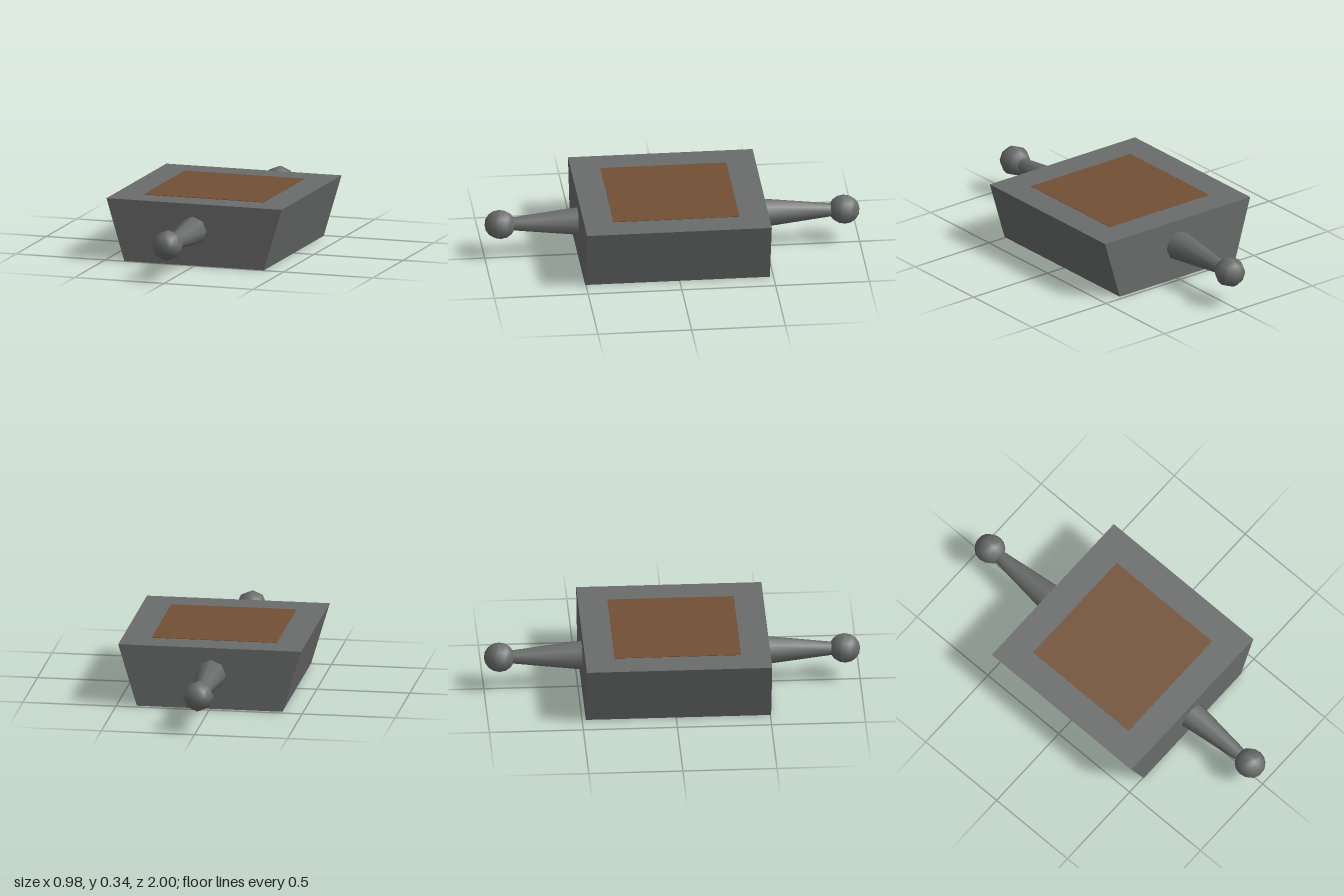
import * as THREE from 'three';

const gray = new THREE.MeshStandardMaterial({ color: 0x6a6c6b });
gray.name = 'dark gray metal';
const brown = new THREE.MeshStandardMaterial({ color: 0x725033 });
brown.name = 'brown fill';

// Block whose sides slope inward along x toward the bottom
function taperedBlock(name, material, topW, bottomW, depth, y0, y1) {
  const geo = new THREE.BoxGeometry(1, y1 - y0, depth);
  const p = geo.attributes.position;
  for (let i = 0; i < p.count; i++) {
    p.setX(i, p.getX(i) * (p.getY(i) > 0 ? topW : bottomW));
  }
  geo.computeVertexNormals();
  const mesh = new THREE.Mesh(geo, material);
  mesh.name = name;
  mesh.position.set(0, (y0 + y1) / 2, 0.012);
  return mesh;
}

// Tapered rod ending in a ball, pointing along +z
function handle(name) {
  const group = new THREE.Group();
  group.name = name;
  const rodGeo = new THREE.CylinderGeometry(0.036, 0.081, 0.38, 8);
  rodGeo.rotateX(Math.PI / 2);
  const rod = new THREE.Mesh(rodGeo, gray);
  rod.name = 'handleRod';
  rod.position.z = 0.665;
  const ballGeo = new THREE.SphereGeometry(0.082, 8, 8);
  ballGeo.rotateX(Math.PI / 2);
  const ball = new THREE.Mesh(ballGeo, gray);
  ball.name = 'handleBall';
  ball.position.z = 0.918;
  group.add(rod, ball);
  group.position.set(-0.007, 0.19, 0);
  return group;
}

export function createModel() {
  const model = new THREE.Group();
  model.name = 'handledBlock';

  // Gray casing, and a core that shows as a thin panel above and below
  model.add(taperedBlock('casing', gray, 0.982, 0.782, 0.985, 0.002, 0.336));
  model.add(taperedBlock('core', brown, 0.672, 0.535, 0.672, 0, 0.338));

  // Front and back handles
  const front = handle('frontHandle');
  const back = handle('backHandle');
  back.rotation.y = Math.PI;
  model.add(front, back);
  return model;
}
